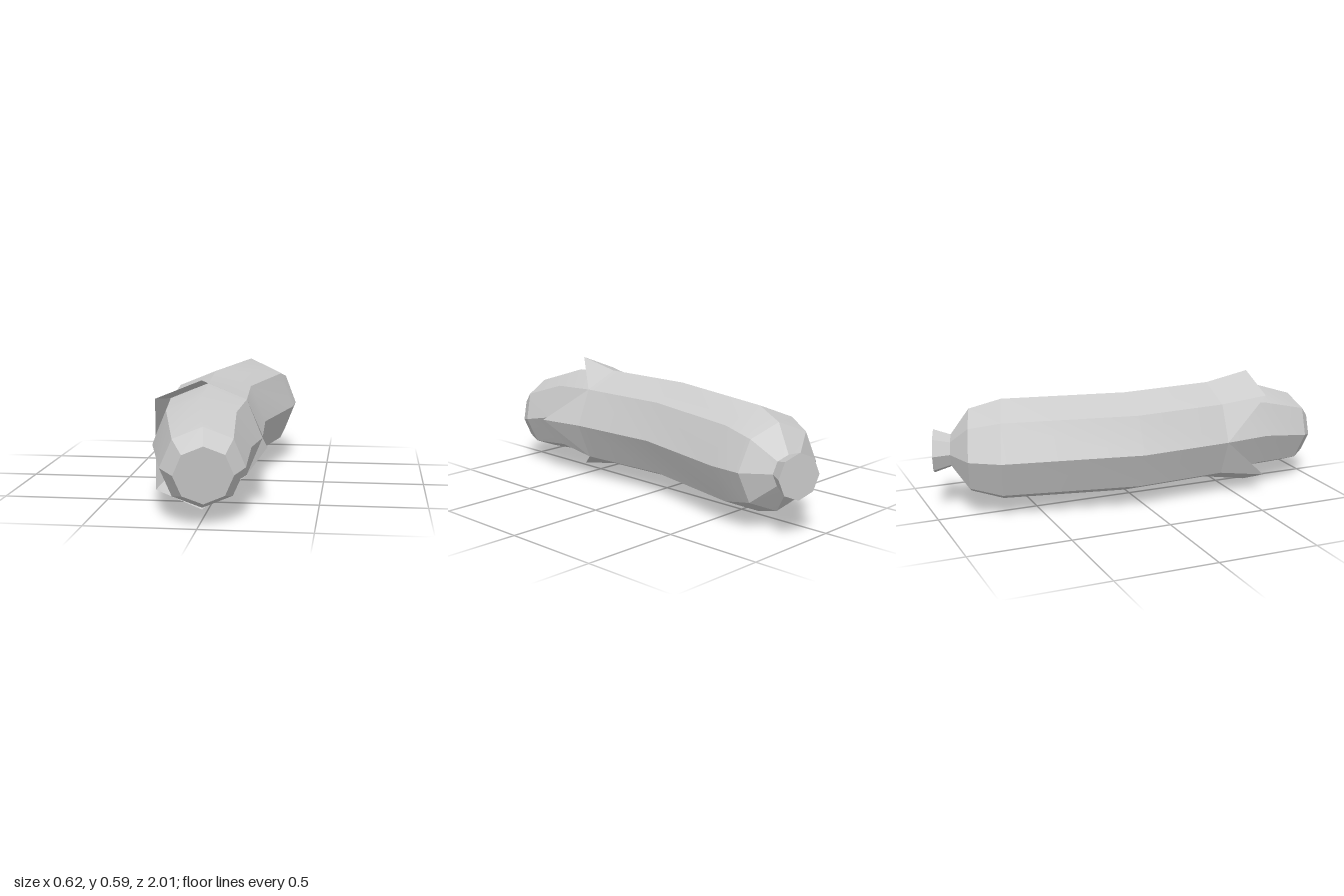
import * as THREE from 'three';
import { toCreasedNormals } from 'three/addons/utils/BufferGeometryUtils.js';

const SIDES = 8;
const CY = 0.298; // height of the centre line

// Octagonal section: centre plus two half-axis vectors
function ring(c, hx, hy) {
  return Array.from({ length: SIDES }, (_, k) => {
    const a = (k / SIDES) * Math.PI * 2;
    return new THREE.Vector3(...c)
      .addScaledVector(new THREE.Vector3(...hx), Math.cos(a))
      .addScaledVector(new THREE.Vector3(...hy), Math.sin(a));
  });
}

// Triangles between successive sections, running from back to front
function loft(rings, capBack, capFront) {
  const tris = [];
  for (let i = 0; i < rings.length - 1; i++) {
    for (let k = 0; k < SIDES; k++) {
      const n = (k + 1) % SIDES;
      const [a, b, c, d] = [rings[i][k], rings[i][n], rings[i + 1][n], rings[i + 1][k]];
      tris.push(a, b, c, a, c, d);
    }
  }
  const cap = (r, front) => {
    for (let k = 1; k < SIDES - 1; k++) {
      tris.push(r[0], front ? r[k] : r[k + 1], front ? r[k + 1] : r[k]);
    }
  };
  if (capBack) cap(rings[0], false);
  if (capFront) cap(rings[rings.length - 1], true);
  return tris;
}

function makeMesh(name, tris, side = THREE.FrontSide) {
  const geometry = toCreasedNormals(new THREE.BufferGeometry().setFromPoints(tris), 0.3);
  const mesh = new THREE.Mesh(geometry, new THREE.MeshStandardMaterial({ color: 0xcccccc, side }));
  mesh.name = name;
  return mesh;
}

export function createModel() {
  const model = new THREE.Group();
  model.name = 'peeledFruit';

  // Bent outer skin
  const stemBase = ring([0.143, CY, -0.885], [0.076, 0, 0.027], [0, 0.081, 0]);
  const rim = ring([-0.028, CY, 0.42], [0.255, 0, 0], [0, 0.255, 0]);
  const skin = loft([
    stemBase,
    ring([0.11, CY, -0.8], [0.2, 0, 0.066], [0, 0.21, 0]),
    ring([0.063, CY, -0.65], [0.242, 0, 0.08], [0, 0.255, 0]),
    ring([-0.057, CY, -0.05], [0.255, 0, 0], [0, 0.255, 0]),
    rim,
  ]);
  model.add(makeMesh('skin', skin, THREE.DoubleSide));

  // Flared stem
  const stem = loft([
    ring([0.167, CY, -0.965], [0.102, 0, 0.035], [0, 0.11, 0]),
    stemBase,
  ], true);
  model.add(makeMesh('stem', stem));

  // Folded-back skin: one pointed flap, and a mirrored pair of broad flaps
  const tip = new THREE.Vector3(0.27, CY, 0.65);
  model.add(makeMesh('pointedFlap', [rim[7], rim[0], tip, rim[0], rim[1], tip], THREE.DoubleSide));
  for (const s of [1, -1]) {
    const base = [1, 2, 3, 4].map((k) => rim[s > 0 ? k : SIDES - k]);
    const t1 = new THREE.Vector3(-0.028, CY + s * 0.297, 0.65);
    const t2 = new THREE.Vector3(-0.24, CY + s * 0.21, 0.65);
    const flap = [
      base[0], base[1], t1,
      base[1], base[2], t2, base[1], t2, t1,
      base[2], base[3], t2,
    ];
    if (s < 0) flap.reverse();
    model.add(makeMesh(s > 0 ? 'upperFlap' : 'lowerFlap', flap, THREE.DoubleSide));
  }

  // Exposed flesh, drooping slightly towards a blunt tip
  const flesh = loft([
    rim,
    ring([-0.027, CY, 0.66], [0.226, 0, 0], [0, 0.226, 0.015]),
    ring([0.012, 0.25, 0.905], [0.185, 0, -0.03], [0.006, 0.184, 0.029]),
    ring([0.025, 0.23, 0.975], [0.13, 0, -0.023], [0.003, 0.13, 0.02]),
  ], false, true);
  model.add(makeMesh('flesh', flesh));

  return model;
}
